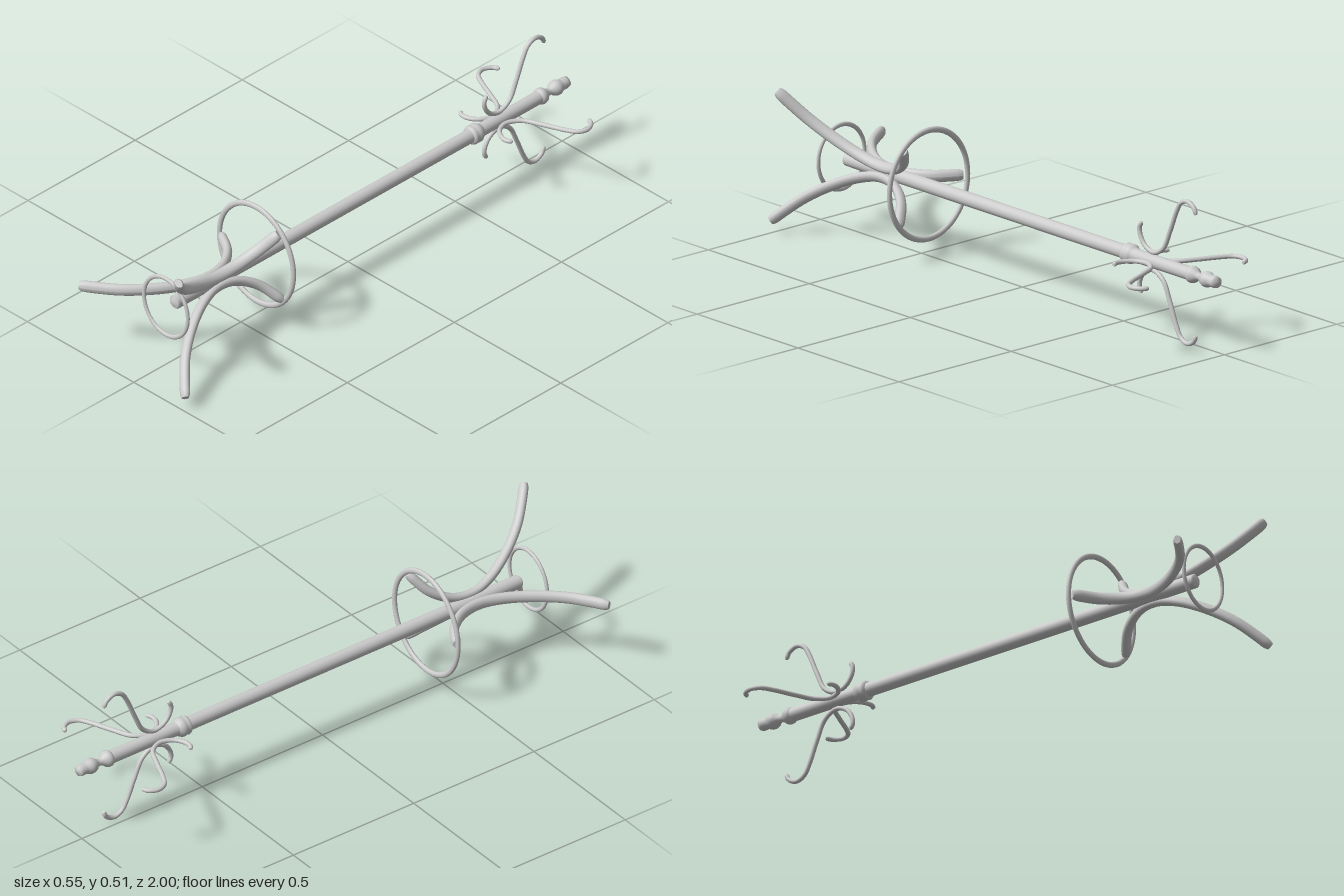
import * as THREE from 'three';

const material = new THREE.MeshStandardMaterial({ color: 0xcccccc, roughness: 0.7 });

function addMesh(parent, name, geometry) {
  const mesh = new THREE.Mesh(geometry, material);
  mesh.name = name;
  parent.add(mesh);
  return mesh;
}

// Sweeps an ellipse along a planar path; thin is the radius in the plane,
// wide the radius across it. Both ends narrow a little and are closed.
function sweep(points, thin, wide, steps, taper, taperLength) {
  const curve = new THREE.CatmullRomCurve3(points.map(([r, h]) => new THREE.Vector3(r, h, 0)));
  const length = curve.getLength();
  const sides = 16;
  const stations = [[0, 0], [0, taper]];
  for (let i = 0; i <= steps; i++) {
    const t = i / steps;
    const fromEnd = Math.min(t, 1 - t) * length;
    const k = Math.min(1, fromEnd / taperLength);
    stations.push([t, taper + (1 - taper) * Math.sqrt(k * (2 - k))]);
  }
  stations.push([1, taper], [1, 0]);

  const positions = [], indices = [];
  stations.forEach(([t, s], i) => {
    const c = curve.getPointAt(t), d = curve.getTangentAt(t);
    for (let j = 0; j <= sides; j++) {
      const a = (j / sides) * Math.PI * 2;
      const u = Math.cos(a) * thin * s;
      positions.push(c.x - d.y * u, c.y + d.x * u, Math.sin(a) * wide * s);
      // keep the cap rims sharp by not joining the duplicate rings
      if (i < stations.length - 1 && j < sides && i !== 1 && i !== stations.length - 3) {
        const p = i * (sides + 1) + j, q = p + sides + 1;
        indices.push(p, p + 1, q, p + 1, q + 1, q);
      }
    }
  });
  const geometry = new THREE.BufferGeometry();
  geometry.setAttribute('position', new THREE.Float32BufferAttribute(positions, 3));
  geometry.setIndex(indices);
  geometry.computeVertexNormals();
  return geometry;
}

// Oval hoop facing along z
function addHoop(parent, name, rx, ry, tube, x, y, z) {
  const geometry = new THREE.TorusGeometry(ry, tube, 14, 72);
  geometry.scale(rx / ry, 1, 0.75);
  addMesh(parent, name, geometry).position.set(x, y, z);
}

export function createModel() {
  const model = new THREE.Group();
  model.name = 'coatStand';

  // The stand is built upright along y, then laid down with its feet to the front
  const stand = new THREE.Group();
  stand.name = 'stand';
  stand.position.set(0.027, 0.263, 0);
  stand.rotation.x = -Math.PI / 2;
  model.add(stand);

  const lathe = (name, profile, segments = 32) =>
    addMesh(stand, name, new THREE.LatheGeometry(profile.map(([r, h]) => new THREE.Vector2(r, h)), segments));

  // Turned pole
  lathe('pole', [[0, -0.842], [0.018, -0.84], [0.024, -0.834], [0.024, 0.55]]);
  lathe('collar', [
    [0.024, 0.54], [0.031, 0.543], [0.034, 0.55], [0.03, 0.557], [0.034, 0.564],
    [0.034, 0.575], [0.029, 0.583], [0.025, 0.59],
  ]);
  lathe('upperPole', [[0.025, 0.585], [0.023, 0.6], [0.023, 0.87]]);
  lathe('finial', [
    [0.022, 0.86], [0.028, 0.866], [0.029, 0.875], [0.026, 0.886], [0.017, 0.896],
    [0.012, 0.908], [0.014, 0.918], [0.022, 0.927], [0.027, 0.94], [0.027, 0.95],
    [0.022, 0.962], [0.02, 0.968], [0.021, 0.985], [0.018, 0.996], [0, 1],
  ]);

  // Three bowed legs, touching the pole at the waist
  const legPath = [
    [0.293, -0.99], [0.245, -0.96], [0.175, -0.908], [0.105, -0.83], [0.05, -0.74],
    [0.026, -0.66], [0.036, -0.58], [0.085, -0.505], [0.168, -0.45],
  ];
  const legGeometry = sweep(legPath, 0.016, 0.021, 60, 0.72, 0.03);
  [180, 53.5, -45.5].forEach((angle, i) => {
    addMesh(stand, 'leg' + (i + 1), legGeometry).rotation.y = -THREE.MathUtils.degToRad(angle);
  });

  // Four double-ended hooks
  const hookPath = [
    [0.123, 0.62], [0.105, 0.61], [0.078, 0.613], [0.045, 0.637], [0.031, 0.68], [0.056, 0.727],
    [0.122, 0.76], [0.198, 0.792], [0.234, 0.814], [0.247, 0.846], [0.232, 0.878], [0.21, 0.889],
  ];
  const hookGeometry = sweep(hookPath, 0.008, 0.008, 72, 0.6, 0.008);
  for (let i = 0; i < 4; i++) {
    addMesh(stand, 'hook' + (i + 1), hookGeometry).rotation.y = (i * Math.PI) / 2;
  }

  // Umbrella hoop above the legs and the smaller brace hoop near the feet
  addHoop(model, 'umbrellaHoop', 0.174, 0.188, 0.0105, 0.018, 0.264, 0.445);
  addHoop(model, 'braceHoop', 0.103, 0.112, 0.008, 0.022, 0.261, 0.872);

  return model;
}
